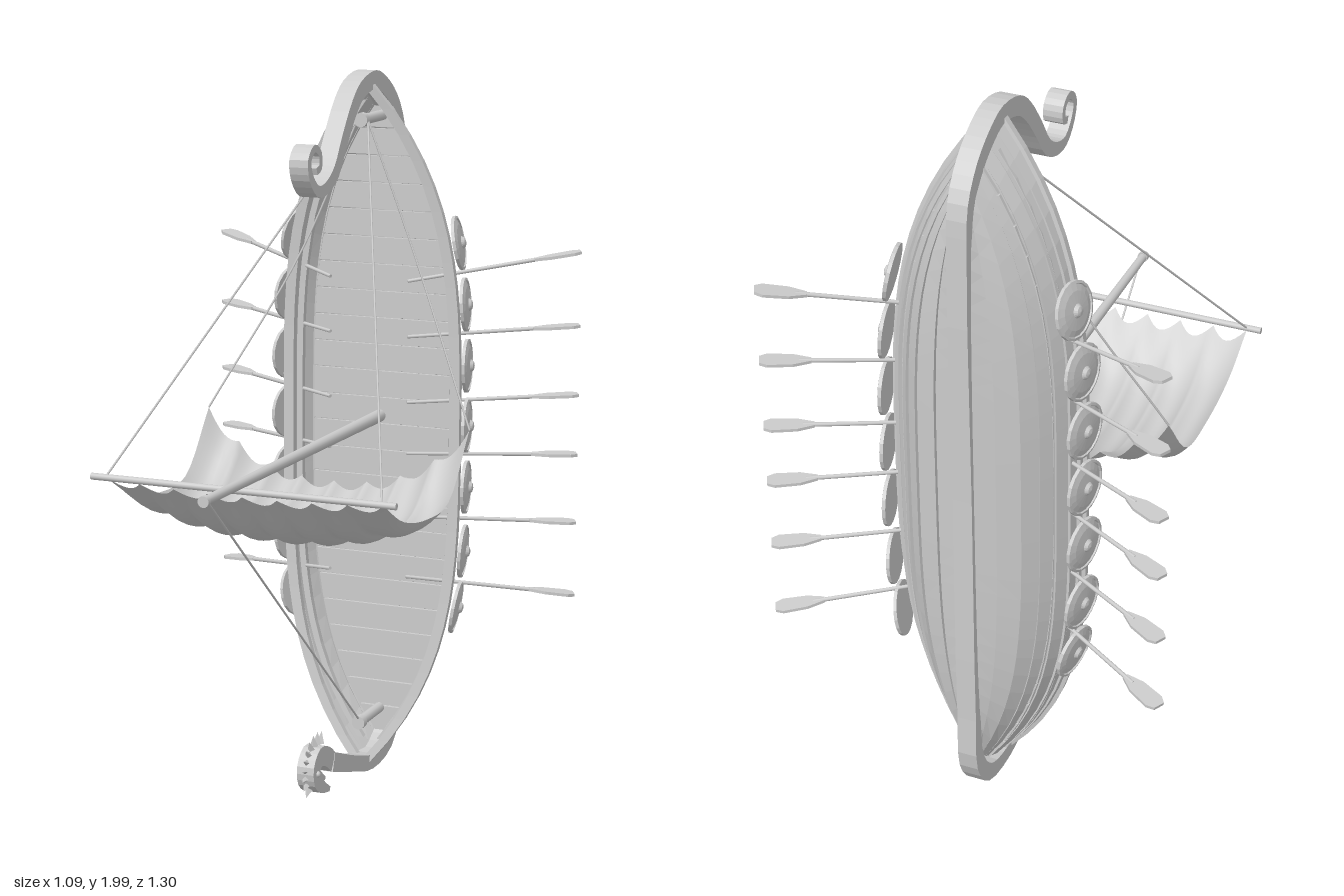
import * as THREE from 'three';

const V = (x, y, z) => new THREE.Vector3(x, y, z);
const UP = V(0, 1, 0);
const flat = new THREE.MeshStandardMaterial({ color: 0xcccccc, flatShading: true, side: THREE.DoubleSide });
const smooth = new THREE.MeshStandardMaterial({ color: 0xcccccc, side: THREE.DoubleSide });

function mesh(parent, name, geometry, material = flat) {
  const m = new THREE.Mesh(geometry, material);
  m.name = name;
  parent.add(m);
  return m;
}

// Piecewise linear lookup of evenly spaced values
function table(a, v) {
  const f = Math.min(Math.max(v, 0), 1) * (a.length - 1);
  const i = Math.min(Math.floor(f), a.length - 2);
  return a[i] + (a[i + 1] - a[i]) * (f - i);
}

// Grid surface through fn(column, row)
function grid(nu, nv, fn) {
  const pos = [], idx = [];
  for (let j = 0; j <= nv; j++) for (let i = 0; i <= nu; i++) pos.push(...fn(i, j).toArray());
  for (let j = 0; j < nv; j++) for (let i = 0; i < nu; i++) {
    const a = j * (nu + 1) + i, b = a + nu + 1;
    idx.push(a, a + 1, b, b, a + 1, b + 1);
  }
  const g = new THREE.BufferGeometry();
  g.setAttribute('position', new THREE.Float32BufferAttribute(pos, 3));
  g.setIndex(idx);
  g.computeVertexNormals();
  return g;
}

// Timber bent in the centre plane; points are [z, y, thickness]
function bentTimber(points, width, steps = 3) {
  const curve = new THREE.CatmullRomCurve3(points.map(p => V(p[0], p[1], 0)), false, 'centripetal');
  const n = (points.length - 1) * steps, a = [], b = [];
  for (let i = 0; i <= n; i++) {
    const p = curve.getPoint(i / n), t = curve.getTangent(i / n);
    const h = table(points.map(q => q[2]), i / n) / 2;
    a.push(new THREE.Vector2(p.x - t.y * h, p.y + t.x * h));
    b.unshift(new THREE.Vector2(p.x + t.y * h, p.y - t.x * h));
  }
  const g = new THREE.ExtrudeGeometry(new THREE.Shape([...a, ...b]), { depth: width, bevelEnabled: false });
  return g.translate(0, 0, -width / 2).rotateY(-Math.PI / 2);
}

// Round bar from a to b
function rod(parent, name, a, b, r1, r2 = r1, sides = 10) {
  const d = b.clone().sub(a);
  const m = mesh(parent, name, new THREE.CylinderGeometry(r2, r1, d.length(), sides), smooth);
  m.position.copy(a).lerp(b, 0.5);
  m.quaternion.setFromUnitVectors(UP, d.normalize());
}

// Hull skin: u runs bow (-1) to stern (1), v runs keel (0) to gunwale (1)
const taper = u => 1 - Math.pow(Math.abs(u), 3.5);
function hullPoint(side, u, v, proud = 0) {
  const k = taper(u), e = Math.pow(Math.abs(u), 2.5);
  const z = table([-0.59, -0.57, -0.52, -0.47, -0.43], v) * (1 - e) + table([-0.59, -0.55, -0.47, -0.37], v) * e;
  const x = 0.015 + table([0, 0.115, 0.18, 0.222, 0.24], v) * k;
  return V(side * (x + proud * v * k), 1 + u * table([0.78, 0.87, 0.93, 0.965], v), z - proud * (1 - v) * k);
}

export function createModel() {
  const ship = new THREE.Group();
  ship.name = 'longship';

  // Keel, stem, and curled stern in one timber
  mesh(ship, 'keelAndStems', bentTimber([
    [-0.1, 0.12, 0.055], [-0.26, 0.065, 0.045], [-0.39, 0.032, 0.045], [-0.52, 0.055, 0.05], [-0.585, 0.14, 0.045],
    [-0.597, 0.3, 0.03], [-0.597, 1.0, 0.028], [-0.597, 1.7, 0.03], [-0.578, 1.83, 0.045], [-0.525, 1.905, 0.05],
    [-0.45, 1.955, 0.05], [-0.385, 1.975, 0.05], [-0.29, 1.955, 0.05], [-0.235, 1.915, 0.048], [-0.165, 1.83, 0.045],
    [-0.11, 1.755, 0.042], [-0.05, 1.72, 0.036], [0.01, 1.715, 0.03], [0.058, 1.755, 0.026], [0.07, 1.8, 0.022],
    [0.035, 1.83, 0.02], [0, 1.812, 0.02], [-0.002, 1.778, 0.02], [0.022, 1.768, 0.02]], 0.053));

  // Dragon head with mane
  const head = new THREE.Group();
  head.name = 'dragonHead';
  ship.add(head);
  mesh(head, 'skull', bentTimber([[-0.1, 0.12, 0.055], [-0.06, 0.148, 0.055], [-0.015, 0.16, 0.055],
    [0.014, 0.135, 0.05], [0.01, 0.1, 0.045], [-0.025, 0.072, 0.035], [-0.075, 0.05, 0.014]], 0.05));
  mesh(head, 'lowerJaw', bentTimber([[0.0, 0.12, 0.03], [-0.03, 0.1, 0.022], [-0.06, 0.085, 0.01]], 0.035));
  for (let i = 0; i < 10; i++) {
    const a = -0.75 + i * 0.3;
    const dir = V(0, Math.sin(a), Math.cos(a));
    const spike = mesh(head, 'maneSpike', new THREE.ConeGeometry(0.013, 0.035, 4));
    spike.position.copy(dir).multiplyScalar(0.082).add(V(0, 0.122, -0.038));
    spike.quaternion.setFromUnitVectors(UP, dir);
  }
  for (const s of [-1, 1]) {
    const eye = mesh(head, 'eye', new THREE.SphereGeometry(0.009, 8, 6), smooth);
    eye.position.set(s * 0.025, 0.12, 0.012);
  }

  // Overlapping strakes, rails, shields and oars on each side
  const strakes = 7, nu = 28;
  const shieldProfile = [[0, 0.022], [0.012, 0.019], [0.018, 0.011], [0.05, 0.008], [0.066, 0.003], [0.068, 0.007],
    [0.075, 0.005], [0.075, -0.004], [0, -0.004]].map(p => new THREE.Vector2(...p));
  const shieldGeo = new THREE.LatheGeometry(shieldProfile, 18);
  const bladeShape = new THREE.Shape([[-0.008, 0], [0.008, 0], [0.024, 0.045], [0.027, 0.11], [0.016, 0.13],
    [-0.016, 0.13], [-0.027, 0.11], [-0.024, 0.045]].map(p => new THREE.Vector2(...p)));
  const bladeGeo = new THREE.ExtrudeGeometry(bladeShape, { depth: 0.008, bevelEnabled: false }).translate(0, 0, -0.004);
  const oarOuter = [1.5, 1.295, 1.1, 0.93, 0.735, 0.525], oarInner = [1.425, 1.27, 1.085, 0.94, 0.76, 0.585];

  for (const s of [-1, 1]) {
    const side = s > 0 ? 'left' : 'right';
    mesh(ship, side + 'Strakes', grid(nu, strakes * 2 - 1, (i, j) =>
      hullPoint(s, i / nu * 2 - 1, Math.floor((j + 1) / 2) / strakes, j % 2 ? 0 : 0.011)));

    const corners = [[-0.02, -0.008], [0.01, -0.008], [0.01, 0.01], [-0.02, 0.01], [-0.02, -0.008]];
    mesh(ship, side + 'Rail', grid(nu, 4, (i, j) =>
      hullPoint(s, i / nu * 2 - 1, 1).add(V(s * corners[j][0], 0, corners[j][1]))));
    mesh(ship, side + 'Stringer', grid(nu, 4, (i, j) =>
      hullPoint(s, (i / nu * 2 - 1) * 0.97, 0.78).add(V(s * (corners[j][0] * 0.6 - 0.005), 0, corners[j][1]))));

    for (const y of [1.53, 1.36, 1.19, 1.02, 0.845, 0.66, 0.495]) {
      const u = (y - 1) / 0.96;
      const n = V(s, 0.84 * Math.sign(u) * Math.pow(Math.abs(u), 2.5), -0.2).normalize();
      const shield = mesh(ship, side + 'Shield', shieldGeo, flat);
      shield.position.set(s * (0.03 + 0.24 * taper(u)), y, -0.465);
      shield.quaternion.setFromUnitVectors(UP, n);
    }

    oarOuter.forEach((y, i) => {
      const a = V(s * 0.115, oarInner[i], -0.405), b = V(s * 0.535, y, -0.625);
      const d = b.clone().sub(a).normalize();
      const start = b.clone().addScaledVector(d, -0.125);
      rod(ship, side + 'OarShaft', a, start.clone().addScaledVector(d, 0.03), 0.005, 0.006, 8);
      const t = UP.clone().addScaledVector(d, -d.y).normalize();
      const blade = mesh(ship, side + 'OarBlade', bladeGeo);
      blade.position.copy(start);
      blade.quaternion.setFromRotationMatrix(new THREE.Matrix4().makeBasis(d.clone().cross(t), d, t));
    });
  }

  // Deck planks laid across the hull
  const planks = 24, deckHalf = y => 0.205 * taper((y - 1) / 0.93);
  for (let i = 0; i < planks; i++) {
    const y0 = 0.09 + i * 1.82 / planks, y1 = y0 + 1.82 / planks - 0.004;
    const w0 = deckHalf(y0), w1 = deckHalf(y1);
    const shape = new THREE.Shape([[-w0, y0], [w0, y0], [w1, y1], [-w1, y1]].map(p => new THREE.Vector2(...p)));
    mesh(ship, 'deckPlank', new THREE.ExtrudeGeometry(shape, { depth: 0.01, bevelEnabled: false })).position.z = -0.51;
  }

  // Mast, yard and mooring posts
  rod(ship, 'mast', V(-0.004, 1.02, -0.51), V(-0.004, 1.025, 0.655), 0.018, 0.012, 14);
  rod(ship, 'mastCap', V(-0.004, 1.025, 0.645), V(-0.004, 1.025, 0.66), 0.015, 0.015, 14);
  rod(ship, 'yard', V(-0.432, 1.003, 0.432), V(0.416, 1.003, 0.432), 0.009);
  for (const y of [0.158, 1.868]) {
    rod(ship, 'post', V(0, y, -0.5), V(0, y, -0.36), 0.015);
    rod(ship, 'postCap', V(0, y, -0.36), V(0, y, -0.338), 0.02);
  }

  // Billowing sail of eight panels: profile holds z, edge height, centre height
  const profile = new THREE.CatmullRomCurve3([V(0.425, 1.0, 0.985), V(0.28, 0.925, 0.865), V(0.12, 0.895, 0.825),
    V(-0.04, 0.905, 0.835), V(-0.195, 1.07, 0.9)]);
  mesh(ship, 'sail', grid(64, 20, (i, j) => {
    const s = i / 32 - 1, t = j / 20, p = profile.getPoint(t);
    const puff = Math.abs(Math.sin(s * Math.PI * 4));
    const y = p.z + (p.y - p.z) * Math.pow(Math.abs(s), 2.5) - 0.024 * puff;
    const z = p.x - 0.03 * puff * Math.pow(1 - t, 3) + 0.018 * t * (1 - s * s);
    return V(s * 0.385 - 0.008, y, z);
  }), smooth);

  // Rigging
  for (const s of [-1, 1]) {
    const x = s * 0.385 - 0.008, post = V(s * 0.015, 1.868, -0.355);
    rod(ship, 'yardRope', post, V(x, 1.003, 0.43), 0.003, 0.003, 5);
    const sheet = new THREE.CatmullRomCurve3([post, V(s * 0.17, 1.5, -0.325), V(x, 1.07, -0.195)]);
    mesh(ship, 'sheetRope', new THREE.TubeGeometry(sheet, 16, 0.003, 5), smooth);
  }
  rod(ship, 'forestay', V(0, 1.02, 0.64), V(0, 0.158, -0.355), 0.003, 0.003, 5);

  return ship;
}
